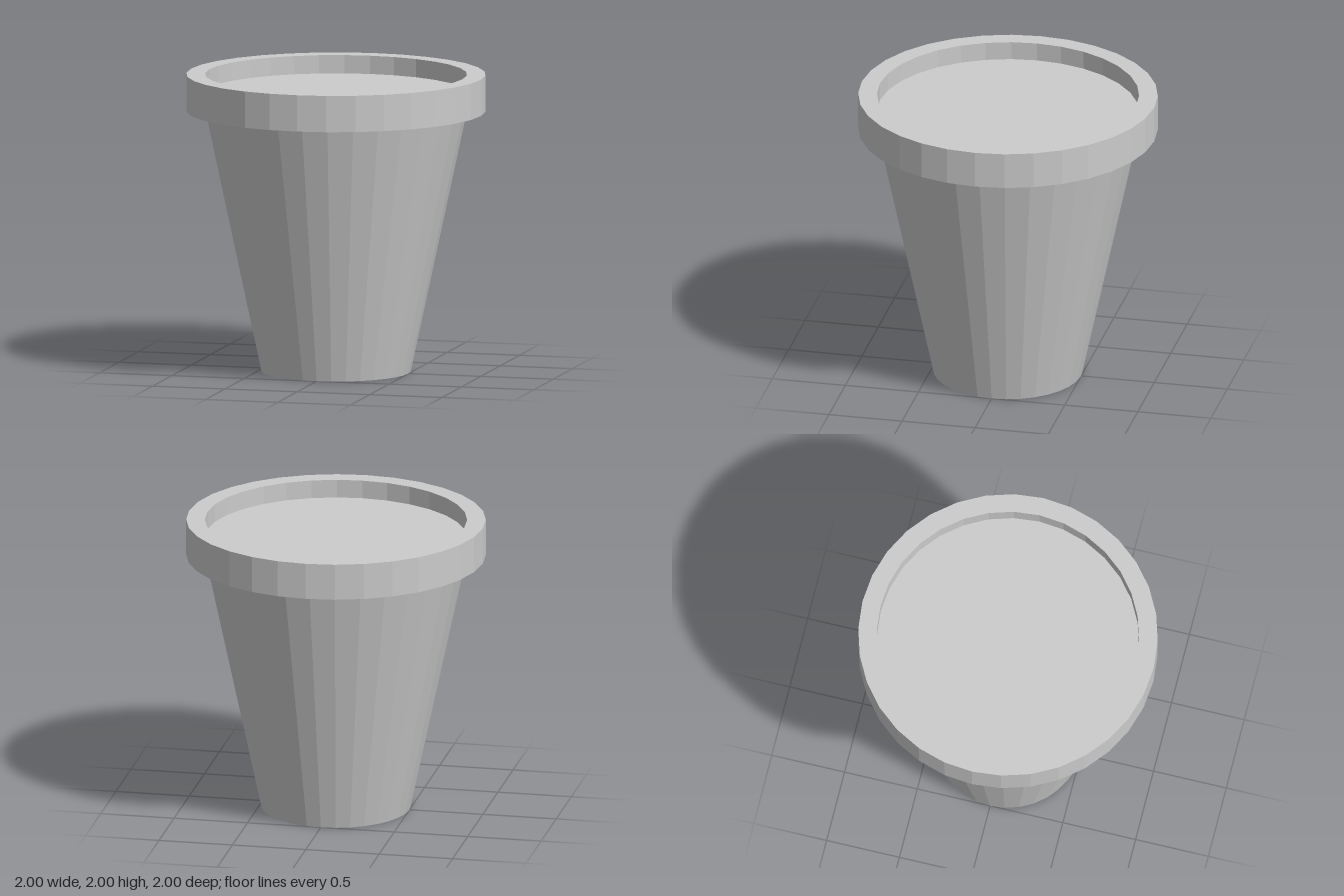
import * as THREE from 'three';

const SIDES = 32;
const BASE_R = 0.5, NECK_R = 0.875, RIM_R = 1;
const RIM_Y = 1.755, SOIL_Y = 1.877, TOP_Y = 2;

export function createModel() {
  const group = new THREE.Group();
  const material = new THREE.MeshStandardMaterial({ color: 0xcccccc, flatShading: true });

  // Each part is a faceted turned profile, listed from the bottom outward and up
  const turned = (name, profile) => {
    const points = profile.map(([r, y]) => new THREE.Vector2(r, y));
    const mesh = new THREE.Mesh(new THREE.LatheGeometry(points, SIDES), material);
    mesh.name = name;
    group.add(mesh);
  };

  // Tapered pot with a closed base
  turned('potBody', [[0, 0], [BASE_R, 0], [NECK_R, RIM_Y]]);

  // Overhanging collar: underside, outer wall, top ring, inner wall
  turned('rim', [[NECK_R, RIM_Y], [RIM_R, RIM_Y], [RIM_R, TOP_Y], [NECK_R, TOP_Y], [NECK_R, SOIL_Y]]);

  // Flat soil surface recessed inside the rim
  turned('soil', [[NECK_R, SOIL_Y], [0, SOIL_Y]]);

  return group;
}
